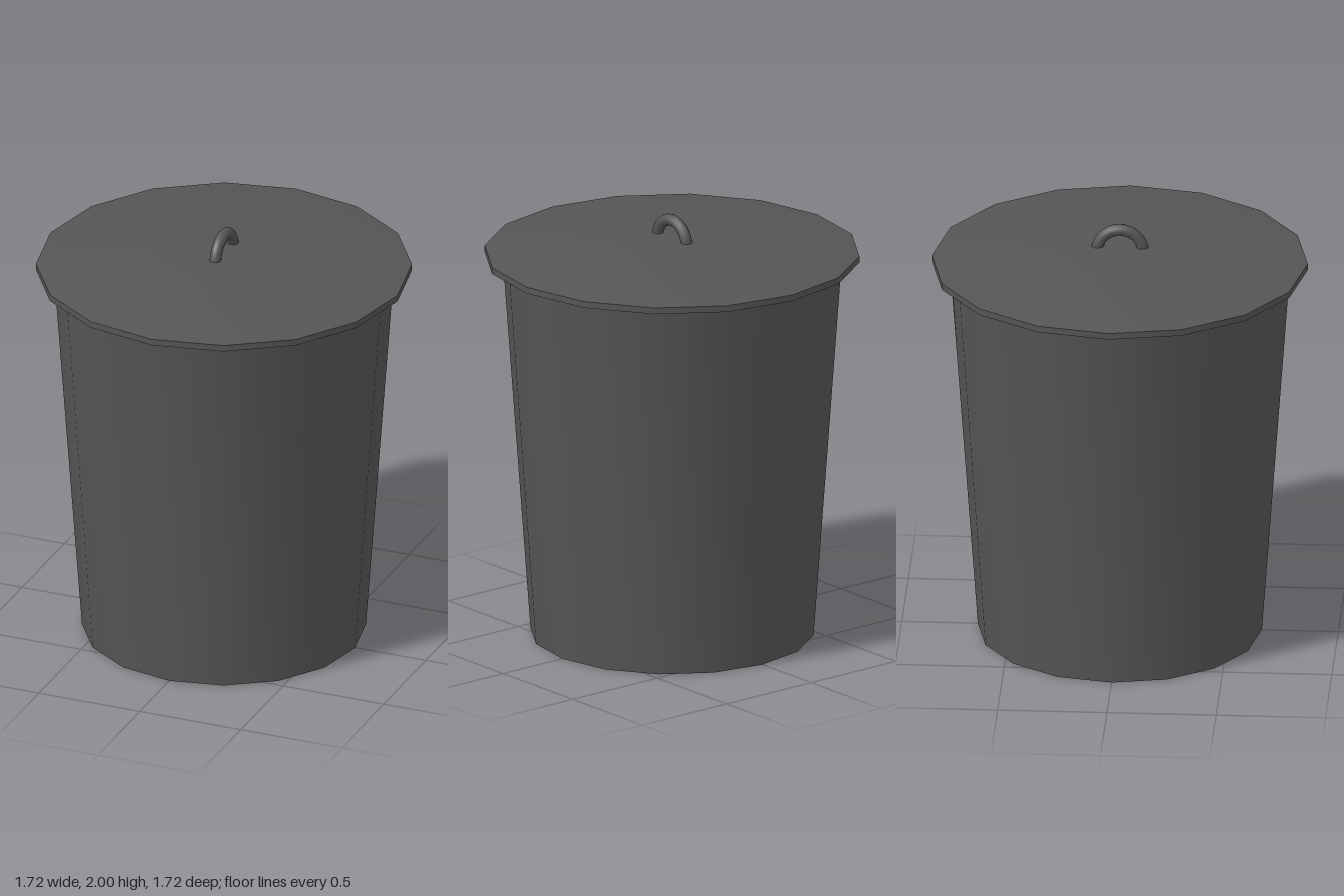
import * as THREE from 'three';
import { toCreasedNormals } from 'three/addons/utils/BufferGeometryUtils.js';

const SIDES = 16;

export function createModel() {
  const group = new THREE.Group();
  const material = new THREE.MeshStandardMaterial({ color: 0x555555 });

  const add = (name, geometry) => {
    const mesh = new THREE.Mesh(geometry, material);
    mesh.name = name;
    group.add(mesh);
    return mesh;
  };

  // Turned 16-sided solid: smooth around, sharp at the rims
  const turned = (profile) => toCreasedNormals(
    new THREE.LatheGeometry(profile.map(([r, y]) => new THREE.Vector2(r, y)), SIDES), 0.5);

  // Tapered bin, closed at the bottom
  add('binBody', turned([[0, 0], [0.65, 0], [0.78, 1.81], [0, 1.81]]));

  // Overhanging lid: short rim, shallow slope and flat centre
  add('lid', turned([[0, 1.795], [0.86, 1.795], [0.86, 1.825], [0.37, 1.89], [0, 1.89]]));

  // Half-ring handle running front to back, its ends sunk into the lid
  const handle = add('lidHandle', new THREE.TorusGeometry(0.105, 0.027, 12, 24, Math.PI));
  handle.rotation.y = Math.PI / 2;
  handle.position.y = 1.868;

  return group;
}
